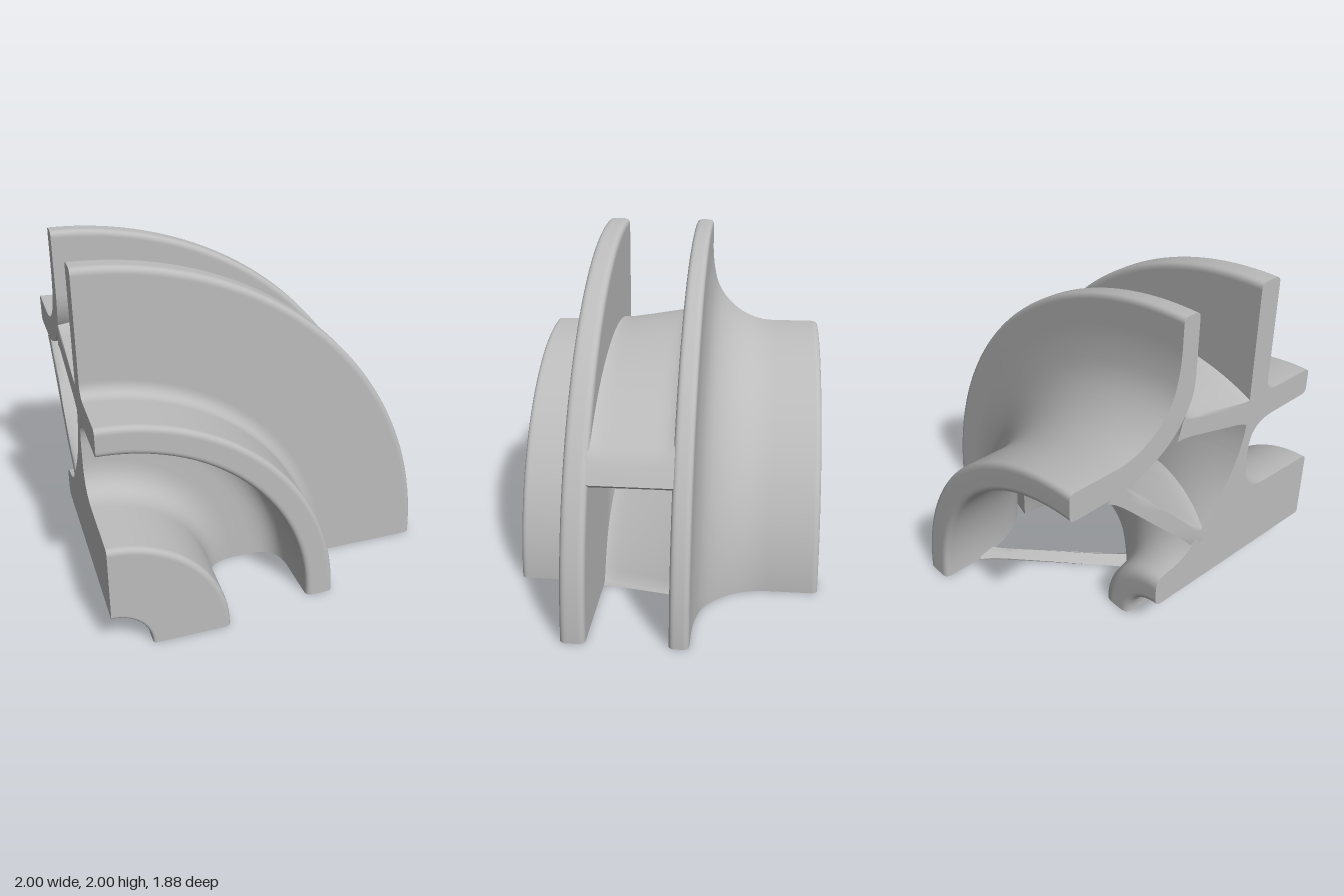
import * as THREE from 'three';
import { toCreasedNormals } from 'three/addons/utils/BufferGeometryUtils.js';

const castMetal = new THREE.MeshStandardMaterial({ color: 0xbcbcbc, side: THREE.DoubleSide });

// Closed (radius, z) outline with each corner [r, z, rounding] softened.
function roundedOutline(corners) {
  const n = corners.length;
  const v = corners.map(([r, z]) => new THREE.Vector2(r, z));
  const out = [v[0].clone().lerp(v[n - 1], 0.5)];
  for (let i = 0; i < n; i++) {
    const p = v[i], a = v[(i + n - 1) % n], b = v[(i + 1) % n];
    const cut = q => p.clone().lerp(q, Math.min(corners[i][2] / p.distanceTo(q), 0.49));
    out.push(...new THREE.QuadraticBezierCurve(cut(a), p, cut(b)).getPoints(8));
  }
  out.push(out[0].clone());
  return out;
}

// Quarter turn about the z axis through x = -1, y = 0, closed by two cut faces.
function quarterRing(name, corners) {
  const outline = roundedOutline(corners);
  const group = new THREE.Group();
  group.name = name;
  const add = (part, geometry) => {
    const mesh = new THREE.Mesh(geometry, castMetal);
    mesh.name = part;
    group.add(mesh);
  };
  add(name + 'Body', new THREE.LatheGeometry(outline, 64, Math.PI / 2, Math.PI / 2)
    .rotateX(Math.PI / 2).translate(-1, 0, 0));
  const face = new THREE.ShapeGeometry(new THREE.Shape(outline)).rotateX(Math.PI / 2);
  add(name + 'LowerCut', face.clone().translate(-1, 0, 0));
  add(name + 'SideCut', face.clone().rotateZ(Math.PI / 2).translate(-1, 0, 0));
  return group;
}

// Paths (radius, z) of the blade's two edges, from the rim to the eye.
const path = pts => new THREE.CatmullRomCurve3(pts.map(([r, z]) => new THREE.Vector3(r, 0, z)));
const hubEdge = path([[2, 0.35], [1.61, 0.35], [1.28, 0.35], [0.98, 0.32], [0.71, 0.17], [0.5, 0.02]]);
const shroudEdge = path([[2, -0.14], [1.67, -0.14], [1.39, -0.18], [1.28, -0.32], [1.22, -0.48], [1.19, -0.65]]);

function bladePoint(s, v, turn) {
  const c = Math.min(Math.max(s, 0), 1);
  const p = hubEdge.getPoint(c).lerp(shroudEdge.getPoint(c), v);
  const angle = THREE.MathUtils.degToRad(25 + 156 * s + turn);
  return new THREE.Vector3(p.x * Math.cos(angle), p.x * Math.sin(angle), p.z);
}

// Spiral blade with thickness, trimmed flat at the two cut planes.
function blade(name, s0, s1, turn) {
  const steps = 48, across = 16, ring = 2 * (across + 1);
  const pos = [], index = [];
  for (let i = -1; i <= steps + 1; i++) {
    const s = s0 + (s1 - s0) * Math.min(Math.max(i, 0), steps) / steps;
    const closed = i < 0 || i > steps;
    for (let j = 0; j < ring; j++) {
      const outer = j <= across;
      const v = (outer ? j : ring - 1 - j) / across;
      const p = bladePoint(s, v, turn);
      const along = bladePoint(s + 0.002, v, turn).sub(bladePoint(s - 0.002, v, turn));
      const over = bladePoint(s, v + 0.01, turn).sub(bladePoint(s, v - 0.01, turn));
      const normal = along.cross(over).normalize();
      const half = closed ? 0 : 0.04 + 0.02 * Math.abs(2 * v - 1) ** 8;
      p.addScaledVector(normal, outer ? half : -half);
      const r = Math.hypot(p.x, p.y), k = Math.min(1, 1.99 / r);
      pos.push(Math.max(p.x * k, 0) - 1, Math.max(p.y * k, 0), p.z);
    }
  }
  for (let i = 0; i < steps + 2; i++) {
    for (let j = 0; j < ring; j++) {
      const a = i * ring + j, b = i * ring + (j + 1) % ring;
      index.push(a, b, a + ring, b, b + ring, a + ring);
    }
  }
  const g = new THREE.BufferGeometry();
  g.setAttribute('position', new THREE.Float32BufferAttribute(pos, 3));
  g.setIndex(index);
  const mesh = new THREE.Mesh(toCreasedNormals(g, 0.7), castMetal);
  mesh.name = name;
  return mesh;
}

export function createModel() {
  const model = new THREE.Group();
  model.name = 'impellerQuarter';

  // Front disc with the central hub and the front collar
  model.add(quarterRing('hubDisc', [
    [0.22, -0.32, 0.05], [0.41, -0.32, 0.07], [0.45, -0.1, 0.1], [0.62, 0.06, 0.12],
    [0.84, 0.23, 0.14], [1.1, 0.33, 0.14], [2, 0.33, 0.04], [2, 0.47, 0.04],
    [1.31, 0.47, 0.08], [1.31, 0.84, 0.035], [1.15, 0.84, 0.035], [1.14, 0.36, 0.18],
    [0.67, 0.37, 0.18], [0.66, 0.94, 0.035], [0.22, 0.94, 0.02],
  ]));

  // Back disc flaring into the intake sleeve
  model.add(quarterRing('shroud', [
    [1.16, -0.94, 0.04], [1.33, -0.94, 0.04], [1.33, -0.55, 0.1], [1.41, -0.39, 0.09],
    [1.55, -0.27, 0.09], [1.74, -0.23, 0.1], [2, -0.23, 0.035], [2, -0.12, 0.035],
    [1.52, -0.12, 0.12], [1.3, -0.27, 0.14], [1.17, -0.55, 0.14],
  ]));

  // Spiral blades between the discs
  model.add(blade('outerBlade', 0, 0.45, 0));
  model.add(blade('innerBlade', 0.38, 1, -90));
  model.add(blade('bladeTip', 0.965, 1, -180));
  return model;
}
